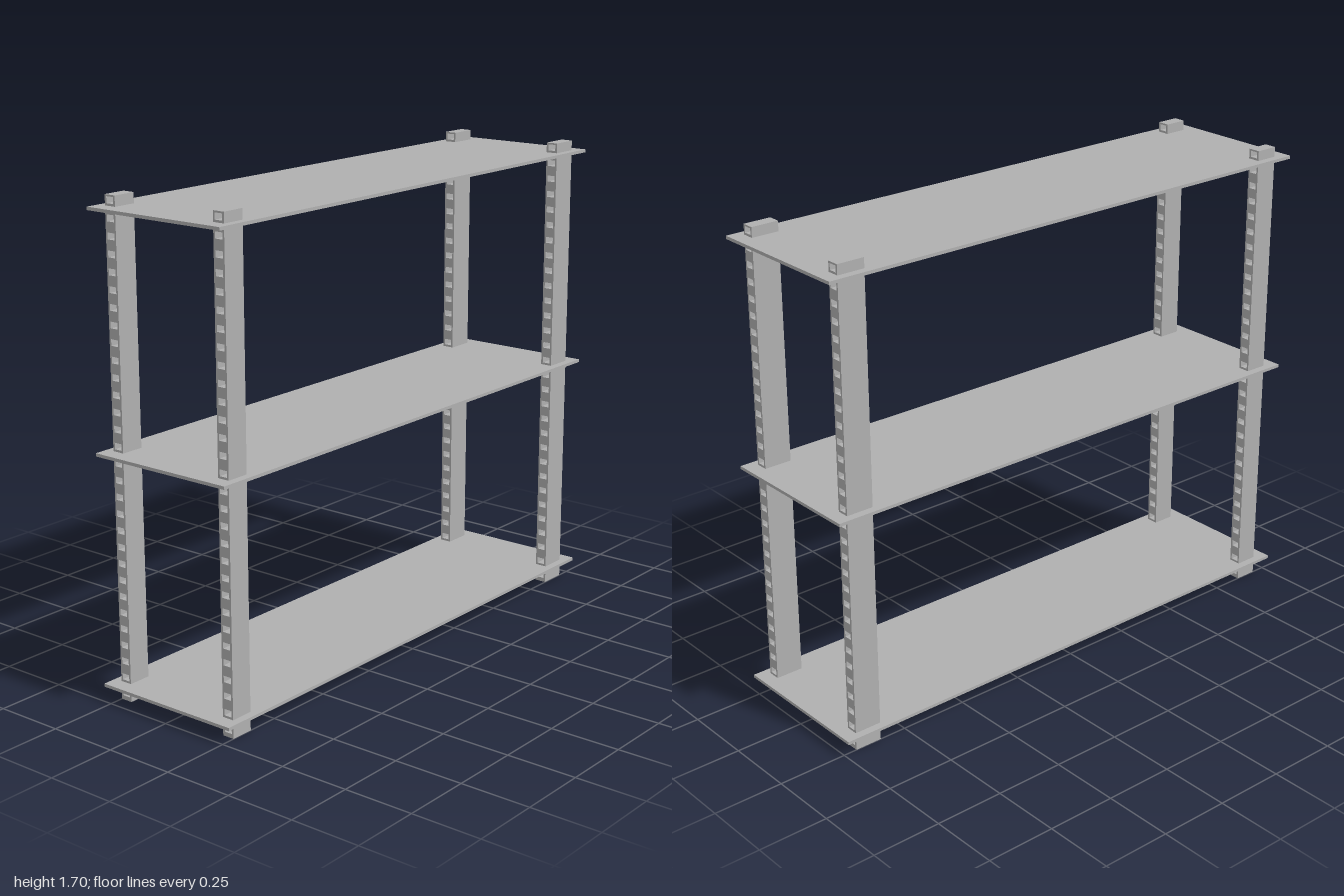
import * as THREE from 'three';

const HEIGHT = 1.7, POST_W = 0.044, PITCH = 0.8 / 14, HOLES = 30;

function rectPath(path, x0, y0, x1, y1) {
  path.moveTo(x0, y0);
  path.lineTo(x1, y0);
  path.lineTo(x1, y1);
  path.lineTo(x0, y1);
  path.closePath();
  return path;
}

// Upright with a column of rectangular slots running through it along z
function postGeometry(depth) {
  const shape = rectPath(new THREE.Shape(), -POST_W / 2, 0, POST_W / 2, HEIGHT);
  for (let i = 0; i < HOLES; i++) {
    const y = 0.026 + i * PITCH;
    shape.holes.push(rectPath(new THREE.Path(), -0.015, y - 0.011, 0.015, y + 0.011));
  }
  const geo = new THREE.ExtrudeGeometry(shape, { depth, bevelEnabled: false });
  geo.translate(0, 0, -depth / 2);
  return geo;
}

export function createModel() {
  const model = new THREE.Group();
  model.name = 'shelfRack';
  const grey = new THREE.MeshStandardMaterial({ color: 0xb0b0b0 });
  grey.name = 'grey';

  // Three thin shelves
  const shelfGeo = new THREE.BoxGeometry(0.556, 0.011, 2);
  ['bottomShelf', 'middleShelf', 'topShelf'].forEach((name, i) => {
    const shelf = new THREE.Mesh(shelfGeo, grey);
    shelf.name = name;
    shelf.position.y = 0.059 + i * 0.8;
    model.add(shelf);
  });

  // Four slotted posts, the back pair slightly deeper
  const rows = [
    { name: 'front', depth: 0.083, z: 0.907 },
    { name: 'back', depth: 0.1, z: -0.9 },
  ];
  for (const { name, depth, z } of rows) {
    const geo = postGeometry(depth);
    for (const side of [-1, 1]) {
      const post = new THREE.Mesh(geo, grey);
      post.name = name + (side > 0 ? 'LeftPost' : 'RightPost');
      post.position.set(side * 0.228, 0, z);
      model.add(post);
    }
  }
  return model;
}
